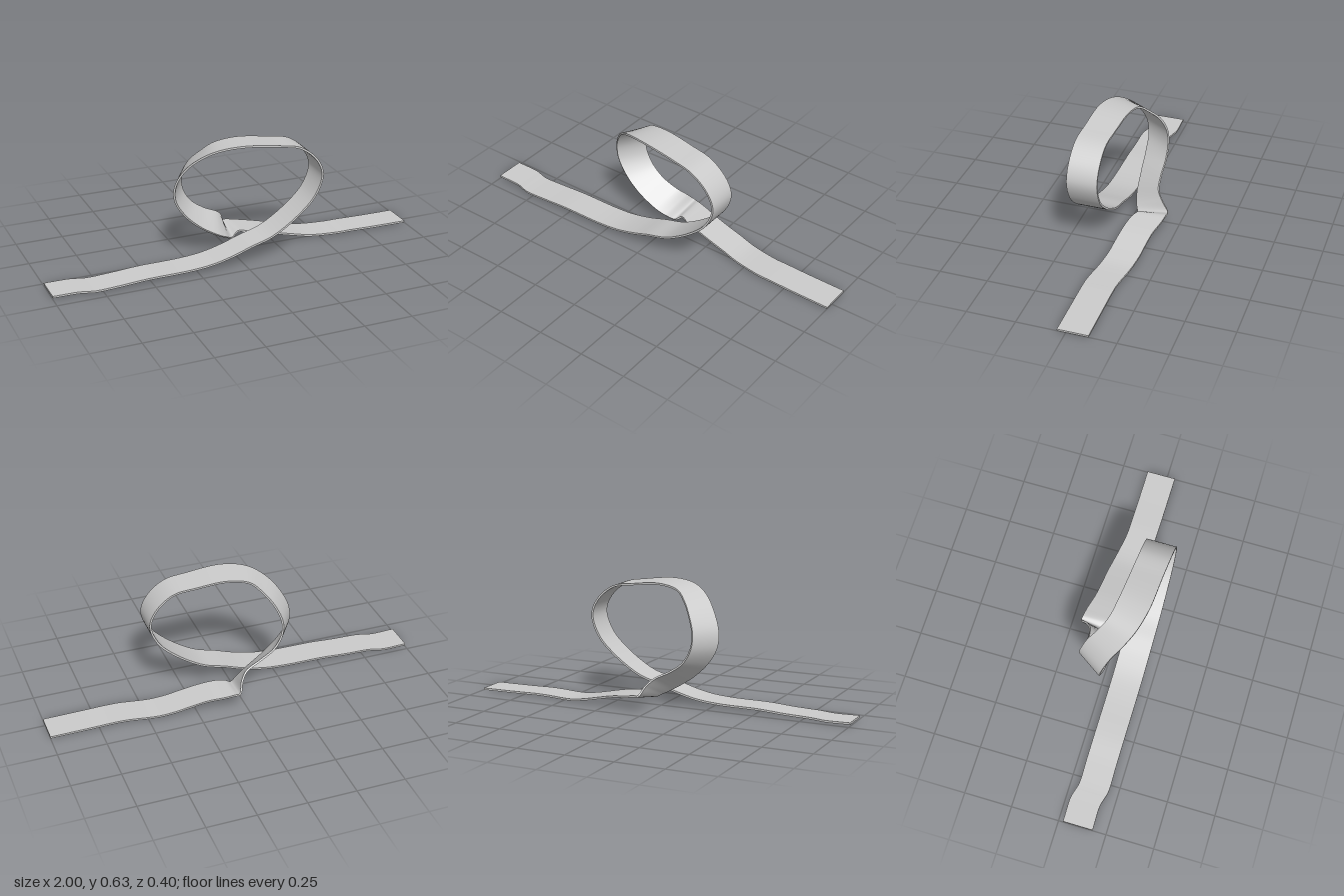
import * as THREE from 'three';

const HALF_WIDTH = 0.078;
const HALF_THICK = 0.005;
const STEPS = 8; // slices between neighbouring stations

// Flat stretches: centre line [x, y, z]; the width runs along z
const leadIn = [
  [-1, 0.013, 0.102], [-0.87, 0.011, 0.102], [-0.83, 0.011, 0.112], [-0.79, 0.011, 0.122],
  [-0.65, 0.016, 0.122], [-0.52, 0.024, 0.122], [-0.3, 0.027, 0.122], [-0.18, 0.038, 0.122],
  [-0.07, 0.064, 0.122], [0.03, 0.098, 0.122], [0.15, 0.136, 0.122], [0.3, 0.235, 0.122],
  [0.385, 0.325, 0.122], [0.421, 0.43, 0.122], [0.39, 0.512, 0.122], [0.3, 0.587, 0.12],
];
const tail = [
  [0.2, 0.061, -0.09], [0.3, 0.039, -0.079], [0.36, 0.026, -0.074], [0.45, 0.011, -0.06],
  [0.6, 0.01, -0.037], [0.66, 0.011, -0.035], [0.8, 0.008, -0.034], [1, 0.006, -0.034],
];
// Twisting half of the loop and the crease: front edge xyz, back edge xyz
const twist = [
  [0.18, 0.612, 0.189, 0.18, 0.609, 0.032],
  [0, 0.631, 0.176, 0.02, 0.624, 0.016],
  [-0.12, 0.615, 0.146, -0.09, 0.603, -0.005],
  [-0.2, 0.572, 0.104, -0.145, 0.555, -0.04],
  [-0.265, 0.5, 0.052, -0.19, 0.495, -0.084],
  [-0.305, 0.41, 0.02, -0.222, 0.41, -0.113],
  [-0.303, 0.33, 0.01, -0.216, 0.335, -0.121],
  [-0.257, 0.248, 0.011, -0.176, 0.264, -0.121],
  [-0.176, 0.168, 0.011, -0.107, 0.212, -0.118],
  [-0.07, 0.098, 0, -0.025, 0.17, -0.13],
  [-0.02, 0.072, -0.014, 0.01, 0.135, -0.16],
  [0.027, 0.053, -0.035, 0.035, 0.088, -0.198],
  [0.065, 0.077, -0.046, 0.062, 0.083, -0.195],
  [0.11, 0.075, -0.028, 0.11, 0.075, -0.188],
];

const flat = ([x, y, z]) => [x, y, z + HALF_WIDTH, x, y, z - HALF_WIDTH];

function ribbonGeometry(stations) {
  const edge = (o) => new THREE.CatmullRomCurve3(
    stations.map((s) => new THREE.Vector3(s[o], s[o + 1], s[o + 2])), false, 'centripetal');
  const front = edge(0), back = edge(3);
  const n = (stations.length - 1) * STEPS;
  const middle = (t) => front.getPoint(t).add(back.getPoint(t)).multiplyScalar(0.5);

  // Four-cornered cross-sections along the strip
  const loops = [];
  for (let i = 0; i <= n; i++) {
    const t = i / n, d = 0.5 / n;
    const f = front.getPoint(t), b = back.getPoint(t);
    const along = middle(Math.min(1, t + d)).sub(middle(Math.max(0, t - d)));
    const up = f.clone().sub(b).cross(along).setLength(HALF_THICK);
    loops.push([b.clone().add(up), f.clone().add(up), f.clone().sub(up), b.clone().sub(up)]);
  }

  const pos = [], index = [];
  const push = (p) => pos.push(p.x, p.y, p.z) / 3 - 1;
  // Broad faces and thin edges keep separate corners, so the rims stay sharp
  for (let k = 0; k < 4; k++) {
    const base = pos.length / 3;
    loops.forEach((l) => { push(l[k]); push(l[(k + 1) % 4]); });
    for (let i = 0; i < n; i++) {
      const a = base + 2 * i, b = a + 1, a2 = a + 2, b2 = a + 3;
      index.push(b, b2, a2, b, a2, a);
    }
  }
  // Cut ends
  for (const ring of [[...loops[0]].reverse(), loops[n]]) {
    const [a, b, c, d] = ring.map(push);
    index.push(a, b, c, a, c, d);
  }

  const geo = new THREE.BufferGeometry();
  geo.setAttribute('position', new THREE.Float32BufferAttribute(pos, 3));
  geo.setIndex(index);
  geo.computeVertexNormals();
  return geo;
}

export function createModel() {
  const group = new THREE.Group();
  group.name = 'loopedRibbon';
  const ribbon = new THREE.Mesh(
    ribbonGeometry([...leadIn.map(flat), ...twist, ...tail.map(flat)]),
    new THREE.MeshStandardMaterial({ color: 0xcccccc }));
  ribbon.name = 'ribbon';
  group.add(ribbon);
  return group;
}
